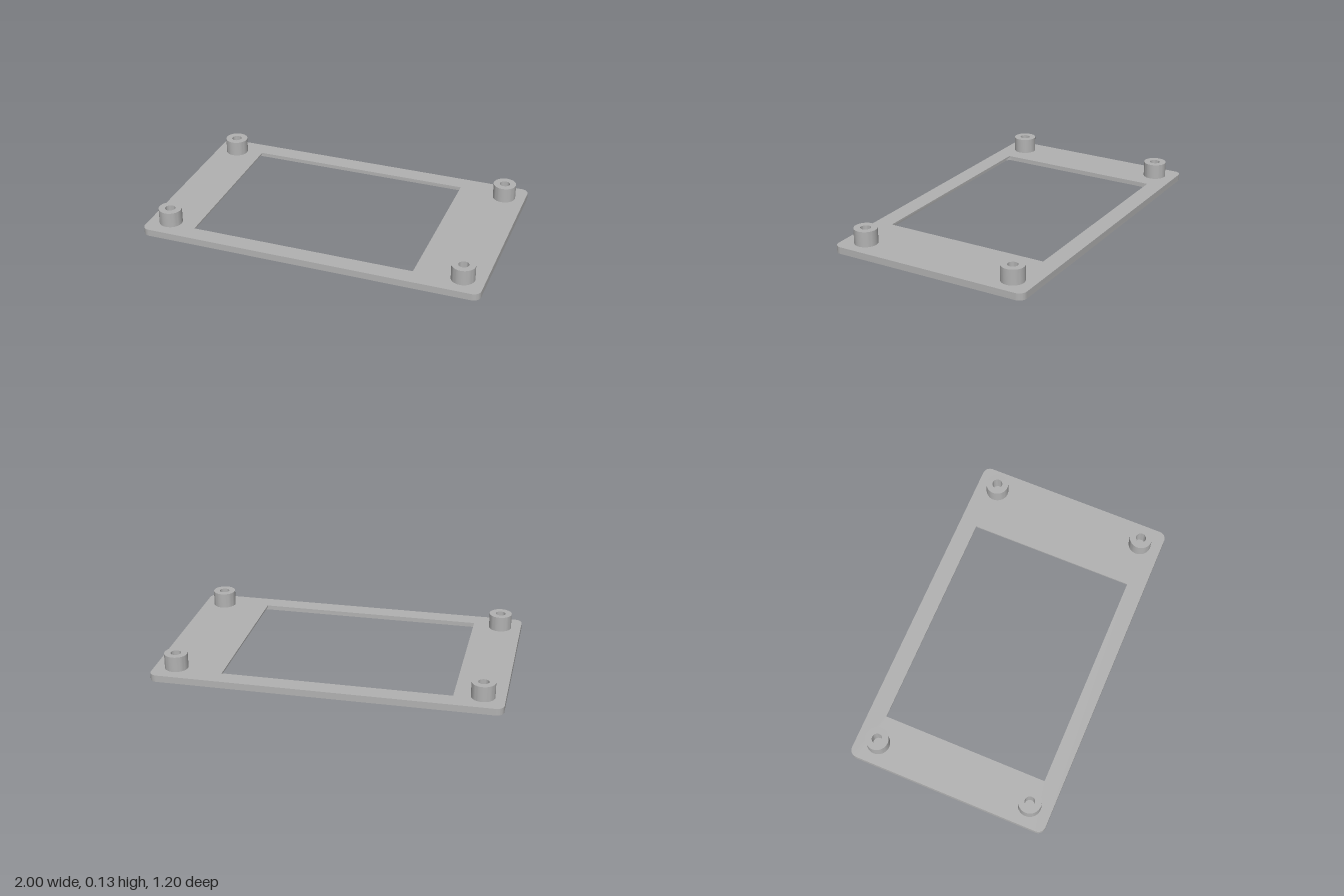
import * as THREE from 'three';
import { toCreasedNormals } from 'three/addons/utils/BufferGeometryUtils.js';

// Closed rectangle outline, with optional corner radius
function rect(Type, x0, x1, z0, z1, r) {
  const p = new Type();
  if (!r) {
    p.moveTo(x0, z0).lineTo(x1, z0).lineTo(x1, z1).lineTo(x0, z1).closePath();
    return p;
  }
  p.moveTo(x0 + r, z0);
  p.absarc(x1 - r, z0 + r, r, -Math.PI / 2, 0);
  p.absarc(x1 - r, z1 - r, r, 0, Math.PI / 2);
  p.absarc(x0 + r, z1 - r, r, Math.PI / 2, Math.PI);
  p.absarc(x0 + r, z0 + r, r, Math.PI, Math.PI * 1.5);
  p.closePath();
  return p;
}

export function createModel() {
  const group = new THREE.Group();
  const grey = new THREE.MeshStandardMaterial({ color: 0xb2b2b2 });
  grey.name = 'grey plastic';

  // Frame: a thin lip around the sharp window, over a wider recess open below
  const LIP = 0.03, TOP = 0.04;
  const addLayer = (name, hole, y0, y1) => {
    const shape = rect(THREE.Shape, -1, 1, -0.6, 0.6, 0.045);
    shape.holes.push(hole);
    const geo = new THREE.ExtrudeGeometry(shape, { depth: y1 - y0, bevelEnabled: false, curveSegments: 8 });
    geo.rotateX(-Math.PI / 2);
    geo.translate(0, y0, 0);
    const mesh = new THREE.Mesh(toCreasedNormals(geo, 0.6), grey);
    mesh.name = name;
    group.add(mesh);
  };
  addLayer('recessedFrame', rect(THREE.Path, -0.745, 0.63, -0.525, 0.525, 0.03), 0, LIP);
  addLayer('windowLip', rect(THREE.Path, -0.714, 0.6, -0.495, 0.495, 0), LIP, TOP);

  // Hollow screw posts in the four corners
  const profile = [[0, 0.042], [0.03, 0.042], [0.03, 0.13], [0.067, 0.13], [0.067, TOP - 0.005]]
    .map(([x, y]) => new THREE.Vector2(x, y)).reverse();
  const postGeo = toCreasedNormals(new THREE.LatheGeometry(profile, 40), 0.6);
  for (const x of [-0.875, 0.875]) {
    for (const z of [-0.47, 0.47]) {
      const post = new THREE.Mesh(postGeo, grey);
      post.name = 'screwPost';
      post.position.set(x, 0, z);
      group.add(post);
    }
  }
  return group;
}
